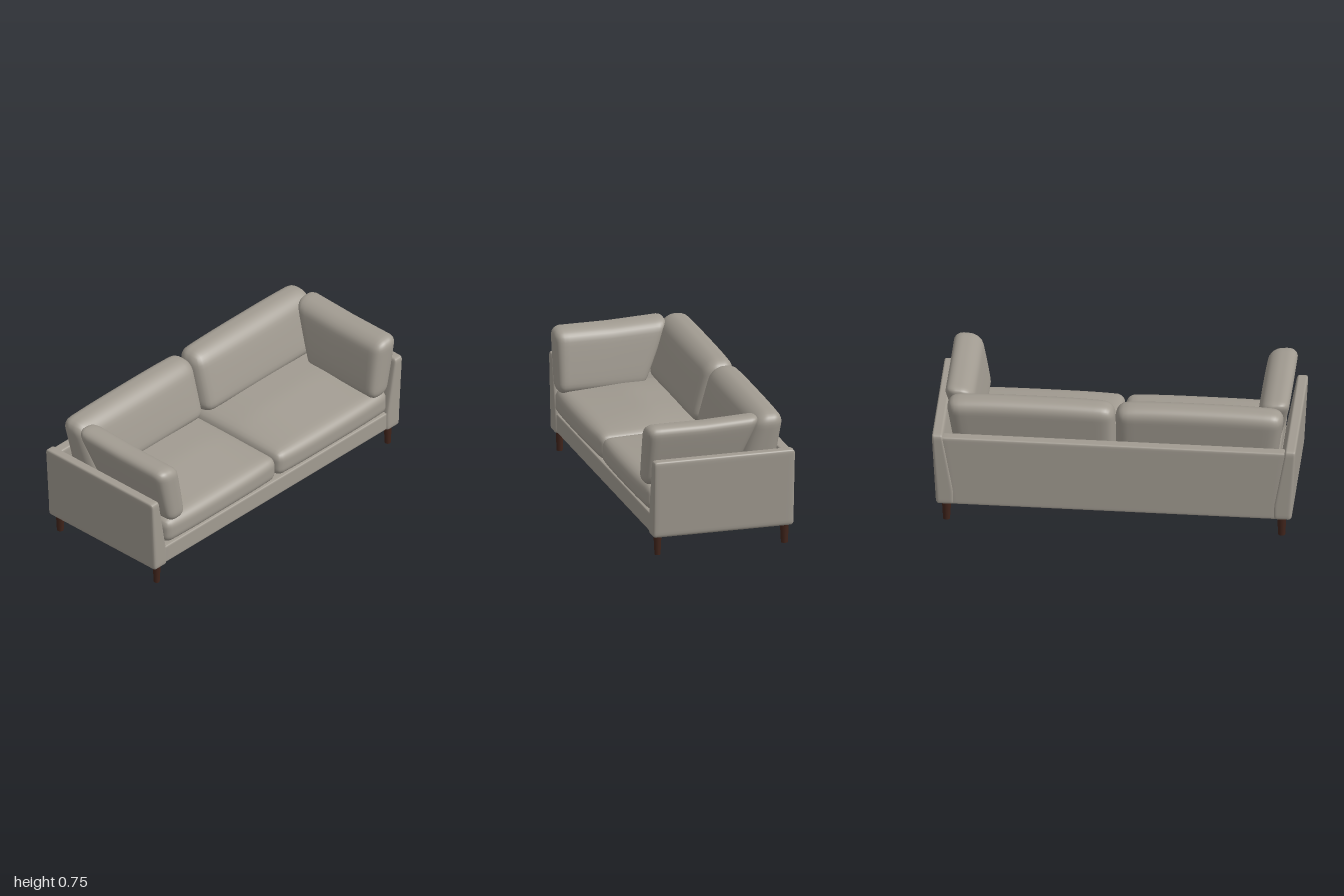
import * as THREE from 'three';
import { mergeVertices } from 'three/addons/utils/BufferGeometryUtils.js';

const { lerp } = THREE.MathUtils;

// Rounded block between two corners; shape(p, u) bends it, u being 0..1 per axis.
function padded(min, max, r, shape, seg = 22) {
  const size = max.map((m, i) => m - min[i]);
  const g = new THREE.BoxGeometry(2, 2, 2, seg, seg, seg);
  const pos = g.attributes.position;
  for (let i = 0; i < pos.count; i++) {
    const inner = new THREE.Vector3(), q = new THREE.Vector3();
    for (let a = 0; a < 3; a++) {
      const h = size[a] / 2;
      const c = Math.sin(pos.getComponent(i, a) * Math.PI / 2) * h; // denser near the edges
      const k = Math.max(h - r, 0);
      inner.setComponent(a, THREE.MathUtils.clamp(c, -k, k));
      q.setComponent(a, c);
    }
    q.sub(inner).setLength(r).add(inner);
    const u = q.toArray().map((c, a) => c / size[a] + 0.5);
    const p = u.map((t, a) => min[a] + t * size[a]);
    if (shape) shape(p, u);
    pos.setXYZ(i, ...p);
  }
  g.deleteAttribute('normal');
  g.deleteAttribute('uv');
  const out = mergeVertices(g, 1e-5);
  out.computeVertexNormals();
  return out;
}

// 0 at both ends, 1 in the middle, with a broad plateau
const crown = t => 1 - Math.pow(Math.abs(2 * t - 1), 3);

export function createModel() {
  const sofa = new THREE.Group();
  sofa.name = 'sofa';
  const fabric = new THREE.MeshStandardMaterial({ color: 0xa19b91 });
  fabric.name = 'greige fabric';
  const wood = new THREE.MeshStandardMaterial({ color: 0x40241b });
  wood.name = 'dark wood';

  const add = (name, geometry, material = fabric) => {
    const mesh = new THREE.Mesh(geometry, material);
    mesh.name = name;
    sofa.add(mesh);
    return mesh;
  };
  // Mirror a shape function for the right-hand side
  const sided = (s, min, max, r, shape) => {
    const g = padded(min, max, r, shape);
    if (s < 0) {
      g.scale(-1, 1, 1);
      const idx = g.index.array;
      for (let i = 0; i < idx.length; i += 3) [idx[i], idx[i + 1]] = [idx[i + 1], idx[i]];
      g.computeVertexNormals();
    }
    return g;
  };

  // Frame
  add('seatBase', padded([-0.89, 0.115, -0.39], [0.89, 0.225, 0.38], 0.012));
  add('backPanel', padded([-0.95, 0.112, -0.41], [0.95, 0.54, -0.35], 0.012, (p, u) => {
    p[0] *= lerp(0.94, 1, u[1]);
  }));

  for (const s of [1, -1]) {
    const side = s > 0 ? 'left' : 'right';

    // Arm panel, flaring outwards and thinning to the top
    add(side + 'Arm', sided(s, [0.875, 0.11, -0.415], [0.98, 0.555, 0.39], 0.02, (p, u) => {
      const inside = lerp(0.875, 0.94, Math.max(0, (u[1] - 0.2) / 0.8));
      p[0] = lerp(inside, lerp(0.976, 1, u[1]), u[0]);
    }));

    // Seat cushion, crowned and rising a little to the back
    add(side + 'SeatCushion', sided(s, [0.002, 0.235, -0.27], [0.885, 0.385, 0.395], 0.05, (p, u) => {
      p[1] += 0.045 * u[1] * crown(u[0]) * Math.min(1, 1.7 * (1 - u[2]) + 0.1);
      p[2] += 0.016 * u[2] * crown(u[0]) * crown(u[1]);
    }));

    // Back cushion, leaning backwards
    add(side + 'BackCushion', sided(s, [0.002, 0.39, -0.34], [0.93, 0.74, -0.18], 0.068, (p, u) => {
      p[0] *= lerp(0.95, 1, u[1]);
      p[2] = lerp(lerp(-0.335, -0.385, u[1]), lerp(-0.125, -0.225, u[1]), u[2]);
      p[2] += 0.015 * u[2] * crown(u[0]) * crown(u[1]);
      p[1] += 0.012 * u[1] * crown(u[0]);
    }));

    // Arm cushion, tilted outwards, its rear end following the back cushion
    add(side + 'ArmCushion', sided(s, [0.75, 0.375, -0.24], [0.88, 0.73, 0.41], 0.055, (p, u) => {
      const t = u[1];
      p[0] = lerp(lerp(0.738, 0.795, t), lerp(0.868, 0.952, t), u[0]);
      p[0] += 0.012 * (u[0] - 0.5) * crown(t);
      p[2] = lerp(lerp(-0.09, -0.25, t), 0.41, u[2]);
      p[1] += 0.014 * t * Math.max(0, 0.5 - u[2]) * 2;
      p[1] += 0.012 * (u[0] - 0.5) * t;
    }));
  }

  // Tapered legs: four corners and one centre support
  const leg = (name, x, z, r) => {
    const g = new THREE.CylinderGeometry(r, r * 0.74, 0.12, 12);
    add(name, g, wood).position.set(x, 0.06, z);
  };
  for (const s of [1, -1]) {
    const side = s > 0 ? 'Left' : 'Right';
    leg('front' + side + 'Leg', s * 0.92, 0.35, 0.023);
    leg('rear' + side + 'Leg', s * 0.92, -0.375, 0.026);
  }
  leg('centreLeg', 0, 0.175, 0.023);

  return sofa;
}
